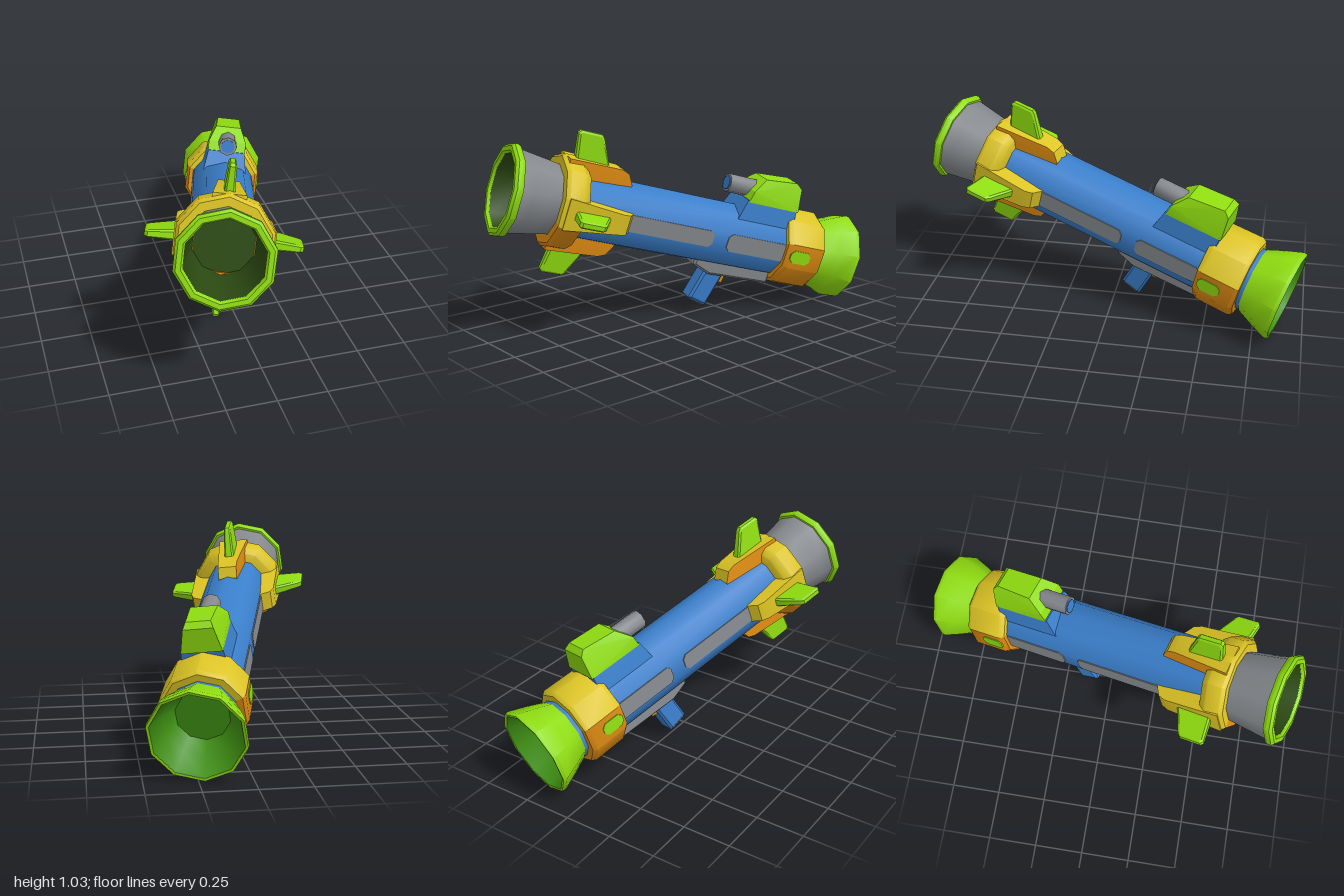
import * as THREE from 'three';
import { toCreasedNormals } from 'three/addons/utils/BufferGeometryUtils.js';

const SIDES = 10;
const STEP = (Math.PI * 2) / SIDES;

function paint(name, color, side = THREE.FrontSide) {
  const m = new THREE.MeshStandardMaterial({ color, side });
  m.name = name;
  return m;
}

// Ten-sided ring around the z axis; profile points are [z, radius], rising z faces outward.
function ring(profile, firstFace = 0, faces = SIDES) {
  const pts = profile.map(([z, r]) => new THREE.Vector2(r, z));
  const g = new THREE.LatheGeometry(pts, faces, firstFace * STEP, faces * STEP);
  g.rotateX(Math.PI / 2);
  return toCreasedNormals(g, 0.68);
}

// Side outline of [z, y] points, extruded across x; warp(z, y) scales the width.
function slab(outline, width, bevel = 0, warp = () => 1) {
  const shape = new THREE.Shape(outline.map(([z, y]) => new THREE.Vector2(z, y)));
  const depth = width - 2 * bevel;
  const g = new THREE.ExtrudeGeometry(shape, {
    depth, bevelEnabled: bevel > 0, bevelSize: bevel, bevelThickness: bevel,
    bevelOffset: -bevel, bevelSegments: 1,
  });
  g.translate(0, 0, -depth / 2);
  g.rotateY(-Math.PI / 2);
  const p = g.attributes.position;
  for (let i = 0; i < p.count; i++) p.setX(i, p.getX(i) * warp(p.getZ(i), p.getY(i)));
  return toCreasedNormals(g, 0.4);
}

export function createModel() {
  const blue = paint('blue', 0x3a7fcb);
  const gray = paint('gray', 0x85898d);
  const green = paint('lime green', 0x8fdc10);
  const innerGreen = paint('inner green', 0x3f9012);
  const deepGreen = paint('deep green', 0x2c4a12);
  const yellow = paint('yellow', 0xdcc424);
  const orange = paint('orange', 0xdf8c12);

  const model = new THREE.Group();
  model.name = 'launcher';
  const body = new THREE.Group();
  body.name = 'tiltedBody';
  body.position.set(0.0155, 0.496, 0);
  body.rotation.set(-0.278, -0.265, -0.113, 'YXZ');
  model.add(body);

  function add(name, geometry, material, parent = body) {
    const m = new THREE.Mesh(geometry, material);
    m.name = name;
    parent.add(m);
    return m;
  }

  // Main tube, running through both collars
  add('tube', ring([[-0.82, 0.165], [-0.5, 0.17], [0.7, 0.17]]), blue);

  // Flared muzzle with rim and dark bore
  add('muzzle', ring([[0.7, 0.177], [0.8, 0.193], [0.88, 0.205], [0.945, 0.215]]), gray);
  add('muzzleRim', ring([[0.938, 0.21], [0.938, 0.226], [0.955, 0.235],
    [0.972, 0.235], [0.985, 0.222], [0.985, 0.198], [0.97, 0.188]]), green);
  add('muzzleBore', ring([[0.972, 0.189], [0.85, 0.172], [0.7, 0.15], [0.7, 0]]), deepGreen);

  // Flared exhaust
  add('exhaust', ring([[-0.983, 0.218], [-0.985, 0.232], [-0.965, 0.235],
    [-0.88, 0.204], [-0.795, 0.168], [-0.795, 0.15]]), green);
  add('exhaustBore', ring([[-0.8, 0], [-0.8, 0.13], [-0.87, 0.175], [-0.984, 0.219]]), innerGreen);

  // Collars: yellow on top, orange below
  const frontCollar = [[0.585, 0.165], [0.6, 0.215], [0.635, 0.24], [0.71, 0.24], [0.728, 0.225], [0.728, 0.17]];
  add('frontCollarTop', ring(frontCollar, 2, 6), yellow);
  add('frontCollarBottom', ring(frontCollar, -2, 4), orange);
  const rearCollar = [[-0.775, 0.16], [-0.775, 0.2], [-0.755, 0.214],
    [-0.575, 0.212], [-0.55, 0.195], [-0.55, 0.165]];
  add('rearCollarTop', ring(rearCollar, 3, 4), yellow);
  add('rearCollarBottom', ring(rearCollar, -3, 6), orange);

  // Four fins on mounts that widen toward the front collar
  const mountOutline = [[0.35, 0.14], [0.71, 0.14], [0.71, 0.235], [0.42, 0.23], [0.38, 0.215], [0.35, 0.165]];
  const mountGeo = slab(mountOutline, 0.1, 0, (z) => 1 + Math.max(0, z - 0.4) * 1.9);
  const lids = mountGeo.groups[0];
  const walls = mountGeo.groups[1];
  mountGeo.clearGroups();
  mountGeo.addGroup(lids.start, lids.count / 2, 0);
  mountGeo.addGroup(walls.start, walls.count, 1);
  mountGeo.addGroup(lids.start + lids.count / 2, lids.count / 2, 2);
  const finGeo = slab([[0.47, 0.2], [0.66, 0.2], [0.682, 0.355], [0.67, 0.37], [0.56, 0.37], [0.545, 0.355]],
    0.055, 0.01, (z, y) => 1 - (y - 0.2) * 2.2);
  const mountPaint = [
    ['top', 0, [orange, yellow, orange]],
    ['left', -Math.PI / 2, [orange, yellow, yellow]],
    ['bottom', Math.PI, [orange, orange, orange]],
    ['right', Math.PI / 2, [yellow, yellow, orange]],
  ];
  for (const [name, angle, paints] of mountPaint) {
    const holder = new THREE.Group();
    holder.name = name + 'FinAssembly';
    holder.rotation.z = angle;
    body.add(holder);
    add(name + 'FinMount', mountGeo, paints, holder);
    add(name + 'Fin', finGeo, green, holder);
  }

  // Side panels on the tube and patches on the rear collar
  for (const side of [1, -1]) {
    const panel = (name, z0, z1, h, x, material) => {
      const c = 0.02;
      const g = slab([[z0, -h + c], [z0 + c, -h], [z1 - c, -h], [z1, -h + c],
        [z1, h - c], [z1 - c, h], [z0 + c, h], [z0, h - c]], 0.008);
      add(name, g, material).position.x = side * x;
    };
    panel('longSidePanel', -0.12, 0.42, 0.043, 0.163, gray);
    panel('shortSidePanel', -0.56, -0.205, 0.047, 0.163, gray);
    panel('collarPatch', -0.69, -0.57, 0.034, 0.203, green);
  }

  // Underside plate, trigger and grip
  add('bottomPlate', slab([[-0.56, -0.205], [-0.2, -0.212], [-0.1, -0.175], [-0.1, -0.13], [-0.56, -0.13]],
    0.17, 0.012), gray);
  add('trigger', slab([[-0.325, -0.26], [-0.29, -0.265], [-0.275, -0.2], [-0.335, -0.2]], 0.045), orange);
  const grip = new THREE.Group();
  grip.name = 'gripAssembly';
  grip.position.set(0, -0.28, -0.232);
  grip.rotation.x = -0.25;
  body.add(grip);
  add('grip', slab([[-0.056, -0.105], [0.056, -0.105], [0.056, 0.11], [-0.056, 0.11]], 0.1, 0.012), blue, grip);
  add('gripEnd', new THREE.BoxGeometry(0.078, 0.008, 0.09), gray, grip).position.y = -0.105;

  // Sight: blue base, green housing, gray barrel with a blue lens
  add('sightBase', slab([[-0.585, 0.12], [-0.25, 0.12], [-0.285, 0.225], [-0.585, 0.225]],
    0.23, 0, (z, y) => 1 - (y - 0.12) * 1.4), blue);
  add('sightHousing', slab([[-0.595, 0.215], [-0.29, 0.215], [-0.305, 0.275], [-0.37, 0.345],
    [-0.56, 0.36], [-0.59, 0.335]], 0.2, 0, (z, y) => 1 - Math.max(0, y - 0.28) * 5), green);
  const barrel = new THREE.CylinderGeometry(0.049, 0.049, 0.24, 8);
  barrel.rotateX(Math.PI / 2);
  add('sightBarrel', toCreasedNormals(barrel, 0.85), gray).position.set(0, 0.273, -0.304);
  const lens = new THREE.CylinderGeometry(0.037, 0.037, 0.008, 8);
  lens.rotateX(Math.PI / 2);
  add('sightLens', lens, blue).position.set(0, 0.273, -0.183);

  return model;
}
